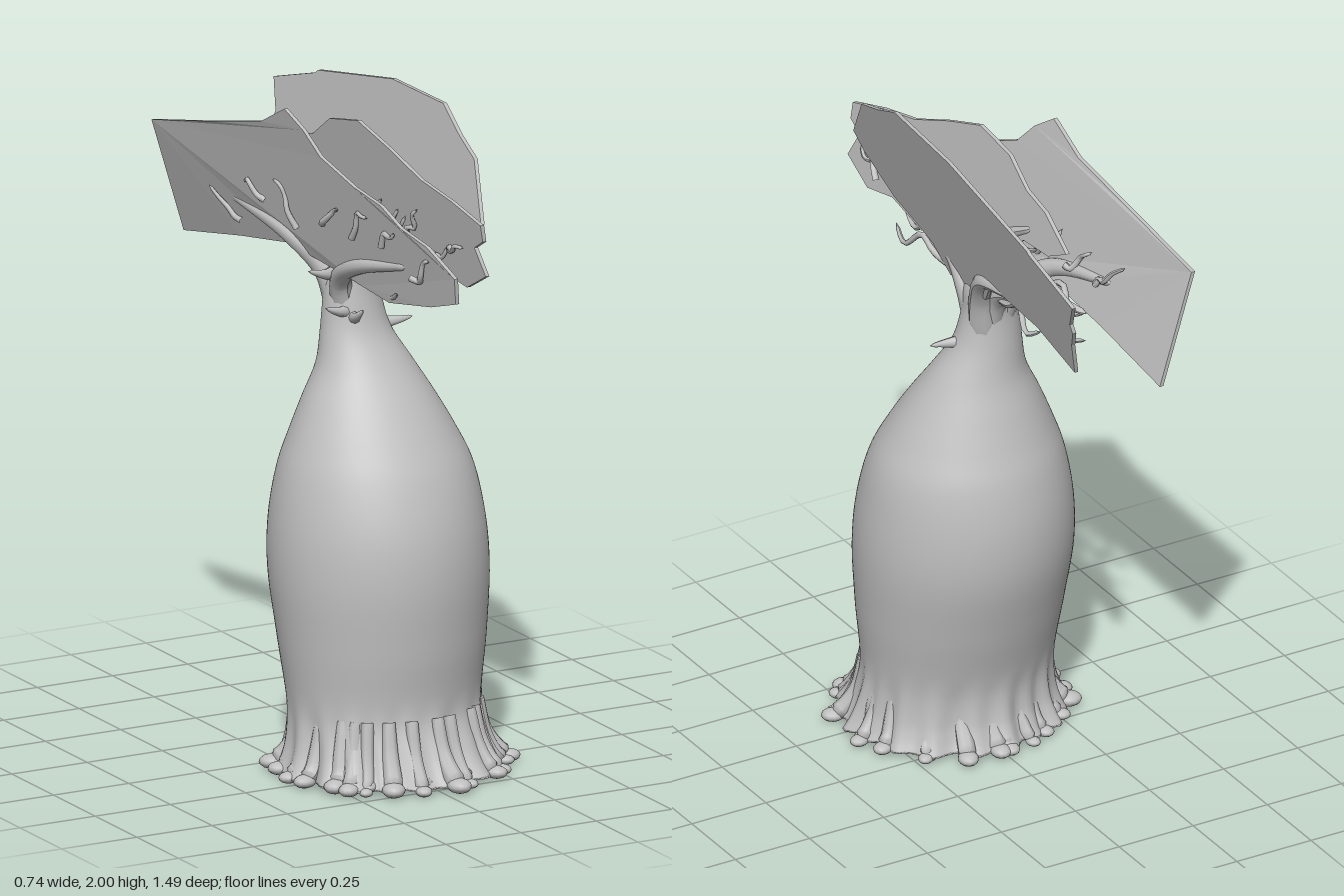
import * as THREE from 'three';

const V = (x, y, z) => new THREE.Vector3(x, y, z);

// Small seeded generator for natural variation
function seeded(s) {
  return () => ((s = (s * 16807) % 2147483647) / 2147483647);
}

// Tube along a smooth path, tapering from r0 to r1, with a rounded tip
function limb(points, r0, r1, segs = 14, sides = 8) {
  const curve = new THREE.CatmullRomCurve3(points);
  const geo = new THREE.TubeGeometry(curve, segs, 1, sides, false);
  const pos = geo.attributes.position;
  const c = V(), p = V();
  for (let i = 0; i < pos.count; i++) {
    const t = Math.floor(i / (sides + 1)) / segs;
    curve.getPointAt(t, c);
    const tip = t === 1 ? 0.02 : 1;
    p.fromBufferAttribute(pos, i).sub(c).multiplyScalar((r0 + (r1 - r0) * t) * tip).add(c);
    pos.setXYZ(i, p.x, p.y, p.z);
  }
  geo.computeVertexNormals();
  return geo;
}

// Trunk sections: y, xMin, xMax, zMin, zMax
const SECTIONS = [
  [0.015, -0.335, 0.328, -0.105, 0.535], [0.05, -0.32, 0.312, -0.085, 0.505],
  [0.1, -0.306, 0.298, -0.068, 0.475], [0.2, -0.298, 0.288, -0.065, 0.44],
  [0.4, -0.315, 0.308, -0.117, 0.456], [0.6, -0.33, 0.322, -0.165, 0.467],
  [0.75, -0.322, 0.314, -0.17, 0.45], [0.9, -0.292, 0.287, -0.145, 0.4],
  [1.0, -0.255, 0.243, -0.11, 0.345], [1.1, -0.21, 0.19, -0.075, 0.28],
  [1.2, -0.16, 0.132, -0.042, 0.207], [1.3, -0.138, 0.075, -0.027, 0.15],
  [1.4, -0.125, 0.05, -0.022, 0.128], [1.48, -0.11, 0.045, -0.03, 0.12],
  [1.54, -0.09, 0.02, -0.01, 0.1],
];

// Bottle-shaped trunk lofted through the sections, fluted near the ground
function trunkGeometry() {
  const rows = 75, cols = 120, pos = [], idx = [];
  const path = (k) => new THREE.CatmullRomCurve3(SECTIONS.map((s) => V(s[0], s[k], s[k + 1])));
  const xs = path(1), zs = path(3);
  for (let i = 0; i <= rows; i++) {
    const a = xs.getPoint(i / rows), b = zs.getPoint(i / rows);
    const flute = 0.014 * Math.max(0, 1 - a.x / 0.24);
    for (let j = 0; j < cols; j++) {
      const t = (j / cols) * Math.PI * 2;
      const w = flute * (Math.sin(t * 19 + Math.sin(t * 3)) + 0.7 * Math.sin(t * 8 + 1));
      pos.push(
        (a.y + a.z) / 2 + ((a.z - a.y) / 2 + w) * Math.cos(t), a.x,
        (b.y + b.z) / 2 + ((b.z - b.y) / 2 + w) * Math.sin(t));
      if (i < rows) {
        const p = i * cols + j, q = i * cols + ((j + 1) % cols);
        idx.push(p, p + cols, q, q, p + cols, q + cols);
      }
    }
  }
  // Hollow underside and closed crown
  const bottom = pos.length / 3;
  pos.push(0, 0.08, 0.21, -0.035, 1.55, 0.045);
  for (let j = 0; j < cols; j++) {
    const n = (j + 1) % cols, top = rows * cols;
    idx.push(bottom, j, n, bottom + 1, top + n, top + j);
  }
  const geo = new THREE.BufferGeometry();
  geo.setAttribute('position', new THREE.Float32BufferAttribute(pos, 3));
  geo.setIndex(idx);
  geo.computeVertexNormals();
  return geo;
}

// Leaf plates: x = a + b*y + c*z + d*y*z, with an outline of [z, y] points
const PLATES = {
  leftFoliagePlate: {
    a: -0.351, b: 0.258, c: -0.0403, d: 0,
    outline: [[0.265, 2], [-0.06, 1.99], [-0.5, 1.905], [-0.51, 1.895], [-0.745, 1.825], [-0.69, 1.74],
      [-0.695, 1.71], [-0.66, 1.65], [-0.625, 1.535], [-0.42, 1.59], [-0.185, 1.59], [-0.1, 1.55], [-0.06, 1.5],
      [0.1, 1.48], [0.17, 1.47], [0.245, 1.545], [0.33, 1.57], [0.455, 1.6], [0.6, 1.69], [0.64, 1.74], [0.515, 1.9], [0.4, 1.94]],
  },
  rightFoliagePlate: {
    a: 0.198, b: -0.226, c: -0.064, d: 0.12,
    outline: [[-0.66, 1.43], [-0.66, 1.78], [-0.35, 1.85], [-0.1, 1.91], [0.03, 1.98], [0.1, 1.93],
      [0.16, 1.86], [0.3, 1.8], [0.42, 1.77], [0.5, 1.72], [0.62, 1.69], [0.74, 1.62], [0.73, 1.54], [0.6, 1.5],
      [0.38, 1.46], [0.25, 1.48], [0.12, 1.5], [-0.1, 1.53], [-0.35, 1.49]],
  },
  middleFoliagePlate: {
    a: 0.211, b: -0.15, c: 0.094, d: 0,
    outline: [[0.73, 1.61], [0.69, 1.69], [0.74, 1.72], [0.74, 1.77], [0.6, 1.81], [0.45, 1.84], [0.3, 1.9], [0.15, 1.95],
      [0, 1.92], [-0.1, 1.85], [-0.2, 1.82], [-0.32, 1.74], [-0.24, 1.7], [-0.12, 1.7], [-0.03, 1.63], [0.08, 1.54],
      [0.2, 1.58], [0.35, 1.53], [0.5, 1.57], [0.62, 1.55]],
  },
};
const plateX = (p, y, z) => p.a + p.b * y + p.c * z + p.d * y * z;

function plateGeometry(p) {
  const shape = new THREE.Shape(p.outline.map(([z, y]) => new THREE.Vector2(-z, y)));
  const geo = new THREE.ExtrudeGeometry(shape, { depth: 0.012, bevelEnabled: false });
  geo.translate(0, 0, -0.006).rotateY(Math.PI / 2);
  const pos = geo.attributes.position;
  for (let i = 0; i < pos.count; i++) pos.setX(i, pos.getX(i) + plateX(p, pos.getY(i), pos.getZ(i)));
  geo.computeVertexNormals();
  return geo;
}

export function createModel() {
  const model = new THREE.Group();
  const bark = new THREE.MeshStandardMaterial({ color: 0xbfbfbf });
  bark.name = 'pale grey';
  const rnd = seeded(77);
  const add = (name, geo, parent = model) => {
    const mesh = new THREE.Mesh(geo, bark);
    mesh.name = name;
    parent.add(mesh);
    return mesh;
  };
  const group = (name) => {
    const g = new THREE.Group();
    g.name = name;
    model.add(g);
    return g;
  };

  add('trunk', trunkGeometry());
  for (const [name, p] of Object.entries(PLATES)) add(name, plateGeometry(p));

  // Ring of root toes merging out of the trunk, each spreading on the ground
  const roots = group('roots');
  const count = 26;
  for (let i = 0; i < count; i++) {
    const t = ((i + (rnd() - 0.5) * 0.9) / count) * Math.PI * 2;
    const reach = 0.93 + rnd() * 0.1, size = 0.018 + rnd() * 0.014;
    const at = (rx, rz, y) => V(rx * Math.cos(t), y, 0.215 + rz * Math.sin(t));
    const end = at(0.34 * reach, 0.33 * reach, size * 0.7);
    add('root', limb([at(0.262, 0.225, 0.2), at(0.282, 0.255, 0.1), at(0.312 * reach, 0.3 * reach, 0.04), end],
      0.02, size, 12), roots);
    const knob = add('rootKnob', new THREE.SphereGeometry(size, 12, 8), roots);
    knob.position.copy(end);
    knob.rotation.y = -t;
    knob.scale.set(1.3, 0.7, 1.1);
    // Gnarled lumps crowding the underside, leaving a hollow in the middle
    for (let k = 0; k < 2; k++) {
      const r = 0.2 + k * 0.06 + rnd() * 0.04;
      const lump = add('rootLump', new THREE.SphereGeometry(0.024 + rnd() * 0.008, 10, 7), roots);
      lump.position.copy(at(r, r * 0.97, 0.022 + rnd() * 0.012));
      lump.rotation.y = rnd() * 3;
      lump.scale.set(1.4, 0.7, 0.9);
    }
  }

  // Main branches rising from the crown into the plates
  const branches = group('branches');
  const { leftFoliagePlate: L, rightFoliagePlate: R, middleFoliagePlate: M } = PLATES;
  const on = (p, z, y, off = 0) => V(plateX(p, y, z) + off, y, z);
  const crown = (x, z) => V(x, 1.36, z);
  const mains = [
    [[crown(0, 0.03), V(0.025, 1.48, 0), on(L, -0.07, 1.57), on(L, -0.25, 1.6, -0.01)], 0.045, 0.01],
    [[crown(0, 0.07), V(0.02, 1.46, 0.09), on(L, 0.16, 1.54, -0.015), on(L, 0.3, 1.6, -0.015)], 0.04, 0.01],
    [[crown(-0.07, 0.04), V(-0.1, 1.47, 0.01), on(R, -0.08, 1.56), on(R, -0.35, 1.62)], 0.045, 0.01],
    [[crown(-0.07, 0.07), V(-0.1, 1.46, 0.1), on(R, 0.22, 1.53), on(R, 0.5, 1.6)], 0.04, 0.01],
    [[crown(-0.03, 0.07), V(-0.03, 1.48, 0.1), on(M, 0.2, 1.58), on(M, 0.5, 1.62)], 0.045, 0.01],
    [[crown(-0.04, 0.04), V(-0.04, 1.5, 0.04), on(M, 0, 1.65), on(M, -0.15, 1.75)], 0.04, 0.01],
    [[crown(-0.02, 0.03), V(-0.02, 1.48, -0.03), V(-0.01, 1.54, -0.2), V(-0.01, 1.52, -0.34), V(0.01, 1.5, -0.45)], 0.04, 0.01],
    [[V(-0.01, 1.54, -0.22), V(-0.03, 1.55, -0.33), V(-0.02, 1.49, -0.45)], 0.013, 0.008],
    [[crown(-0.06, 0.03), V(-0.07, 1.48, -0.03), V(-0.07, 1.55, -0.18), V(-0.12, 1.55, -0.36)], 0.035, 0.009],
  ];
  for (const [pts, r0, r1] of mains) add('branch', limb(pts, r0, r1, 24, 10), branches);

  // Crooked twigs spreading over the right and middle plates
  const twigs = group('twigs');
  for (const [p, side] of [[R, 1], [R, -1], [M, 1], [M, -1]]) {
    for (let i = 0; i < 7; i++) {
      let z = p === R ? -0.3 + i * 0.14 : -0.1 + i * 0.11;
      let y = 1.55 + rnd() * 0.1;
      const dir = z < 0.05 ? -1 : 1, pts = [];
      for (let k = 0; k < 5; k++) {
        pts.push(on(p, z, y, side * (0.006 + rnd() * 0.02)));
        z += dir * (0.01 + rnd() * 0.025);
        y += -0.01 + rnd() * 0.06;
      }
      add('twig', limb(pts, 0.011, 0.005, 12, 6), twigs);
    }
  }

  // Curling twigs hanging below the plates at the front and back
  for (let i = 0; i < 8; i++) {
    const s = i % 2 ? 1 : -1, x = -0.13 + i * 0.024;
    const z = s > 0 ? 0.24 : -0.14, d = 0.06 + rnd() * 0.04, y = 1.5 + rnd() * 0.05;
    add('hangingTwig', limb([V(-0.04, 1.46, 0.05), V(x * 0.9, y, z), V(x, y + 0.03, z + s * d),
      V(x + 0.015, y - 0.03, z + s * d * 2), V(x, y, z + s * d * 3)], 0.016, 0.006, 20, 7), twigs);
  }

  // Short thorny stubs around the neck
  const stubs = group('neckStubs');
  const spikes = [
    [V(-0.06, 1.36, 0.09), V(-0.12, 1.37, 0.12), V(-0.17, 1.39, 0.13)],
    [V(0.03, 1.3, 0.07), V(0.1, 1.305, 0.08), V(0.15, 1.31, 0.08)],
    [V(-0.06, 1.34, 0.1), V(-0.08, 1.36, 0.16), V(-0.08, 1.39, 0.2)],
    [V(-0.1, 1.47, 0.06), V(-0.15, 1.48, 0.09), V(-0.21, 1.5, 0.1)],
  ];
  for (const pts of spikes) add('stub', limb(pts, 0.024, 0.004, 8, 8), stubs);

  return model;
}
